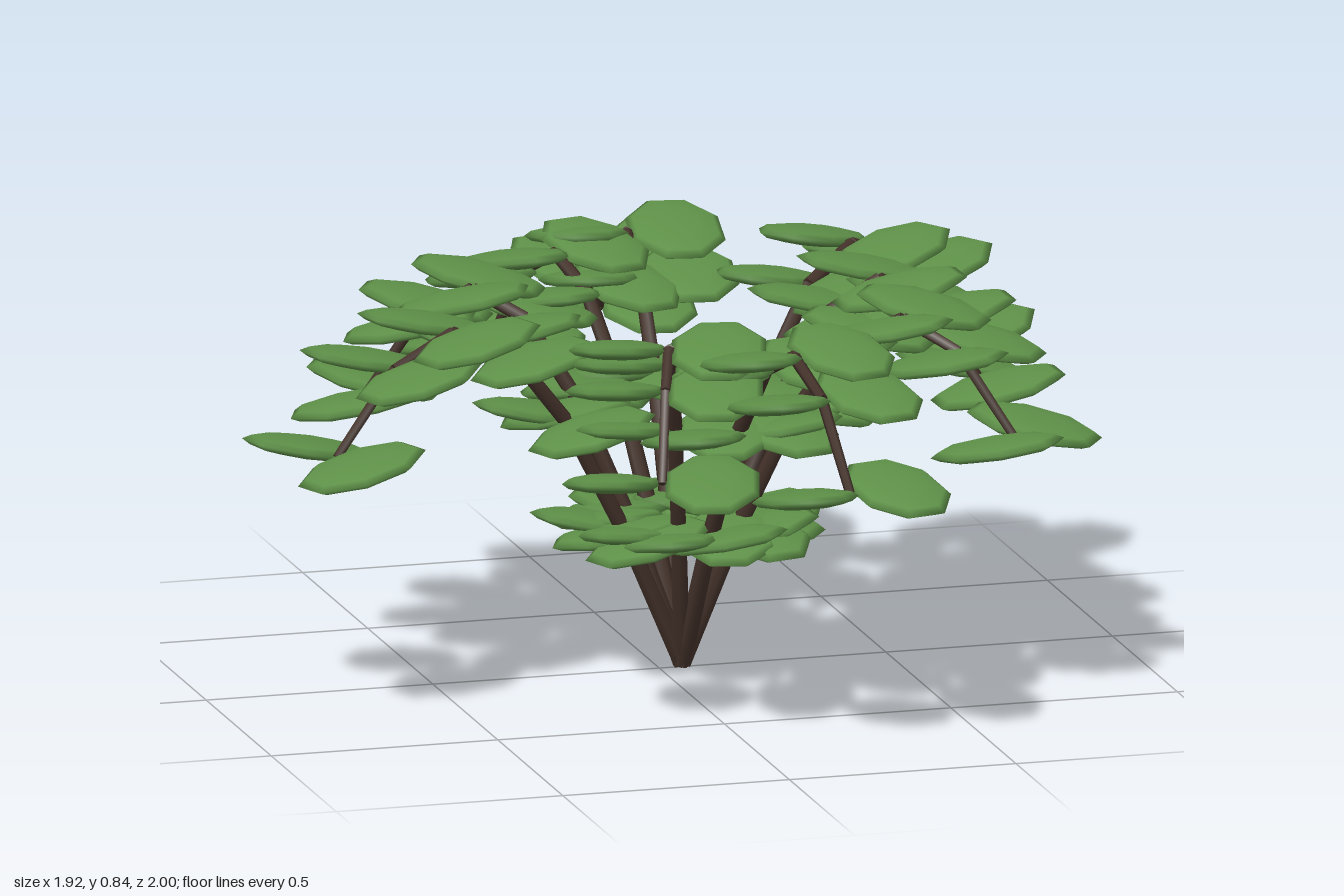
import * as THREE from 'three';

export function createModel() {
  const plant = new THREE.Group();
  plant.name = 'fernShrub';
  const leafGreen = new THREE.MeshStandardMaterial({ color: 0x5e9048 });
  const barkBrown = new THREE.MeshStandardMaterial({ color: 0x44322a });

  // Flattened lens leaf, long along z, with blunt ends
  const leafGeometry = new THREE.SphereGeometry(1, 8, 6);
  leafGeometry.rotateY(Math.PI / 8);
  leafGeometry.scale(0.108, 0.021, 0.152);

  // Tapered straight stem piece between two points
  const up = new THREE.Vector3(0, 1, 0);
  function stemPiece(a, b, r0, r1) {
    const dir = b.clone().sub(a);
    const piece = new THREE.Mesh(new THREE.CylinderGeometry(r1, r0, dir.length(), 6), barkBrown);
    piece.name = 'stemSegment';
    piece.position.copy(a).add(b).multiplyScalar(0.5);
    piece.quaternion.setFromUnitVectors(up, dir.normalize());
    return piece;
  }

  // Arching frond built along local +z, with a leaf pair at every joint
  function frond(length) {
    const group = new THREE.Group();
    group.name = 'frond';
    const joints = 6;
    const point = (i) => new THREE.Vector3(0, 0.8 * Math.sin((Math.PI * i) / 8), (length * i) / joints);
    const radius = (i) => 0.02 - 0.0016 * i;
    for (let i = 1; i <= joints; i++) {
      const p = point(i);
      group.add(stemPiece(point(i - 1), p, radius(i - 1), radius(i)));
      // One leaf of each pair tips down, the other tips up
      for (const side of [-1, 1]) {
        const leaf = new THREE.Mesh(leafGeometry, leafGreen);
        leaf.name = 'leaf';
        leaf.position.set(side * 0.107, p.y, p.z + 0.005);
        leaf.rotation.set(side * 0.2, side * 0.06, 0);
        group.add(leaf);
      }
    }
    return group;
  }

  // Frond tips on the ground plan (x, z)
  const tips = [
    [0.11, -0.85], [-0.18, -0.66], [-0.56, -0.29], [-0.78, 0.24], [-0.18, 0.65],
    [0.18, 0.84], [0.65, 0.46], [0.72, -0.06], [0.76, -0.52],
  ];
  const baseX = 0.05;
  for (const [x, z] of tips) {
    const f = frond(Math.hypot(x - baseX, z));
    f.position.x = baseX;
    f.rotation.y = Math.atan2(x - baseX, z);
    plant.add(f);
  }
  return plant;
}
